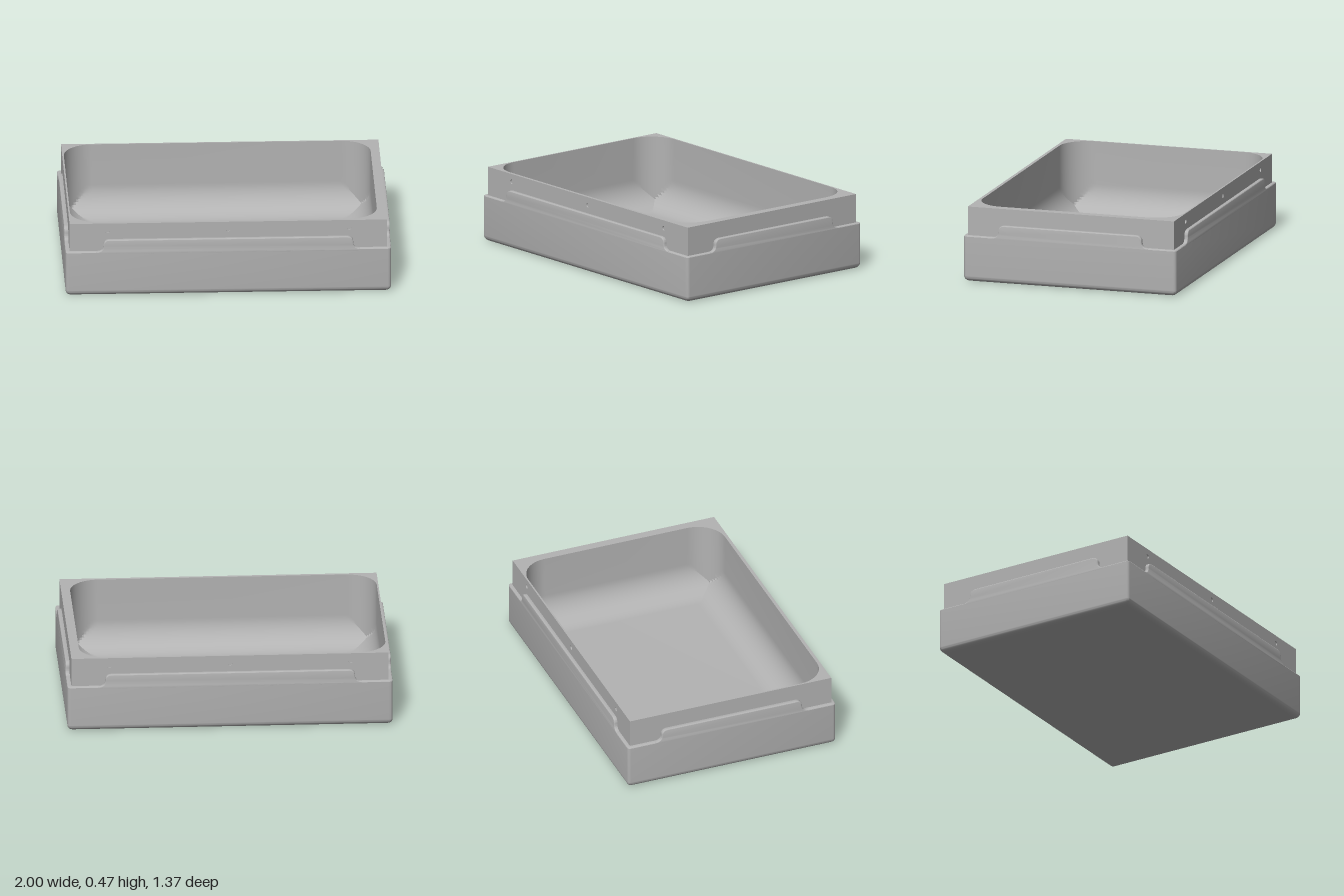
import * as THREE from 'three';
import { toCreasedNormals } from 'three/addons/utils/BufferGeometryUtils.js';

const TOP = 0.467, LEDGE = 0.288, SKIRT = 0.365;
const BX = 0.975, BZ = 0.665; // upper block half sizes
const OX = 1, OZ = 0.687; // outer skirt half sizes

// Rounded rectangle as [x, z] points
function outline(hx, hz, r, n = 12) {
  const pts = [];
  const signs = [[1, 1], [-1, 1], [-1, -1], [1, -1]];
  signs.forEach(([sx, sz], q) => {
    for (let i = 0; i <= n; i++) {
      const a = (q + i / n) * Math.PI / 2;
      pts.push([sx * (hx - r) + r * Math.cos(a), sz * (hz - r) + r * Math.sin(a)]);
    }
  });
  return pts;
}

// Skin a list of { y, pts } loops; faces point inward when the loops rise
function loft(loops, crease = 0.45) {
  const n = loops[0].pts.length, pos = [], idx = [];
  loops.forEach(({ y, pts }) => pts.forEach(([x, z]) => pos.push(x, y, z)));
  for (let i = 0; i < loops.length - 1; i++) {
    for (let j = 0; j < n; j++) {
      const a = i * n + j, b = i * n + (j + 1) % n;
      idx.push(a, b, a + n, b, b + n, a + n);
    }
  }
  const g = new THREE.BufferGeometry();
  g.setAttribute('position', new THREE.Float32BufferAttribute(pos, 3));
  g.setIndex(idx);
  return toCreasedNormals(g, crease);
}

export function createModel() {
  const group = new THREE.Group();
  const grey = new THREE.MeshStandardMaterial({ color: 0xb3b3b3 });
  grey.name = 'plain grey';
  grey.side = THREE.DoubleSide;

  const add = (name, geo, parent = group) => {
    const m = new THREE.Mesh(geo, grey);
    m.name = name;
    parent.add(m);
    return m;
  };

  // Lower shell: ledge, wall, rounded bottom edge and underside
  const shell = [];
  const ring = (y, d) => shell.push({ y, pts: outline(OX - d, OZ - d, Math.max(0.02 - d * 0.4, 0.004), 4) });
  ring(LEDGE, 0.03);
  ring(LEDGE, 0.006);
  ring(LEDGE - 0.002, 0.002);
  ring(LEDGE - 0.006, 0);
  const edge = 0.035;
  for (let i = 0; i <= 8; i++) {
    const a = i / 8 * Math.PI / 2;
    ring(edge * (1 - Math.sin(a)), edge * (1 - Math.cos(a)));
  }
  shell.push({ y: 0, pts: shell[0].pts.map(() => [0, 0]) });
  add('lowerShell', loft(shell));

  // Raised skirt panels with S-curved ends, one on each side
  function skirtPanel(low, high) {
    const r = (SKIRT - LEDGE) / 2, mid = (low + high) / 2, y0 = LEDGE - 0.018;
    const s = new THREE.Shape();
    s.moveTo(-low, y0);
    s.lineTo(low, y0);
    s.lineTo(low, LEDGE);
    s.quadraticCurveTo(mid, LEDGE, mid, LEDGE + r);
    s.quadraticCurveTo(mid, SKIRT, high, SKIRT);
    s.lineTo(-high, SKIRT);
    s.quadraticCurveTo(-mid, SKIRT, -mid, LEDGE + r);
    s.quadraticCurveTo(-mid, LEDGE, -low, LEDGE);
    const bevel = 0.005;
    const g = new THREE.ExtrudeGeometry(s, {
      depth: 0.02, bevelThickness: bevel, bevelSize: bevel, bevelOffset: -bevel,
      bevelSegments: 3, curveSegments: 10,
    });
    g.translate(0, 0, -0.02 - bevel); // outer face at z = 0
    return toCreasedNormals(g, 0.6);
  }
  const longPanel = skirtPanel(0.81, 0.725), shortPanel = skirtPanel(0.505, 0.42);
  const sides = [['front', 0], ['left', 1], ['back', 2], ['right', 3]];
  for (const [side, k] of sides) {
    const holder = new THREE.Group();
    holder.name = side + 'Skirt';
    holder.rotation.y = k * Math.PI / 2;
    group.add(holder);
    add(side + 'SkirtPanel', k % 2 ? shortPanel : longPanel, holder).position.z = k % 2 ? OX : OZ;
  }

  // Upper block walls; the long ones have three shallow round holes
  const y0 = LEDGE - 0.01, holeY = 0.417, holeR = 0.014, holeDepth = 0.008;
  for (const [side, k] of sides) {
    const long = k % 2 === 0, half = long ? BX : BZ;
    const wall = new THREE.Group();
    wall.name = side + 'Wall';
    wall.rotation.y = k * Math.PI / 2;
    group.add(wall);
    const s = new THREE.Shape([[-half, y0], [half, y0], [half, TOP], [-half, TOP]].map(p => new THREE.Vector2(...p)));
    const z = long ? BZ : BX;
    if (long) {
      for (const x of [-0.742, 0, 0.742]) {
        s.holes.push(new THREE.Path().absarc(x, holeY, holeR, 0, Math.PI * 2, true));
        const bore = new THREE.CylinderGeometry(holeR, holeR, holeDepth, 24, 1, true).rotateX(Math.PI / 2);
        add('holeBore', bore, wall).position.set(x, holeY, z - holeDepth / 2);
        add('holeFloor', new THREE.CircleGeometry(holeR, 24), wall).position.set(x, holeY, z - holeDepth);
      }
    }
    add(side + 'WallFace', new THREE.ShapeGeometry(s, 12), wall).position.z = z;
  }

  // Basin: rounded opening, slightly off centre, with mitred floor fillets
  const cx = -0.0225, cz = -0.005, hx = 0.9425, hz = 0.65, fillet = 0.18, floor = 0.02;
  const mouth = outline(hx, hz, 0.18, 16);
  const clamp = THREE.MathUtils.clamp;
  const basin = [{ y: floor, pts: mouth.map(() => [cx, cz]) }];
  for (let i = 0; i <= 16; i++) {
    const a = i / 16 * Math.PI / 2, d = fillet * (1 - Math.sin(a));
    basin.push({
      y: floor + fillet * (1 - Math.cos(a)),
      pts: mouth.map(([x, z]) => [cx + clamp(x, d - hx, hx - d), cz + clamp(z, d - hz, hz - d)]),
    });
  }
  const rimPts = mouth.map(([x, z]) => [cx + x, cz + z]);
  basin.push({ y: TOP, pts: rimPts });
  add('basin', loft(basin));

  // Flat rim around the basin
  const rim = new THREE.Shape([[-BX, -BZ], [BX, -BZ], [BX, BZ], [-BX, BZ]].map(p => new THREE.Vector2(...p)));
  rim.holes.push(new THREE.Path(rimPts.map(([x, z]) => new THREE.Vector2(x, -z))));
  add('rim', new THREE.ShapeGeometry(rim).rotateX(-Math.PI / 2)).position.y = TOP;

  return group;
}
